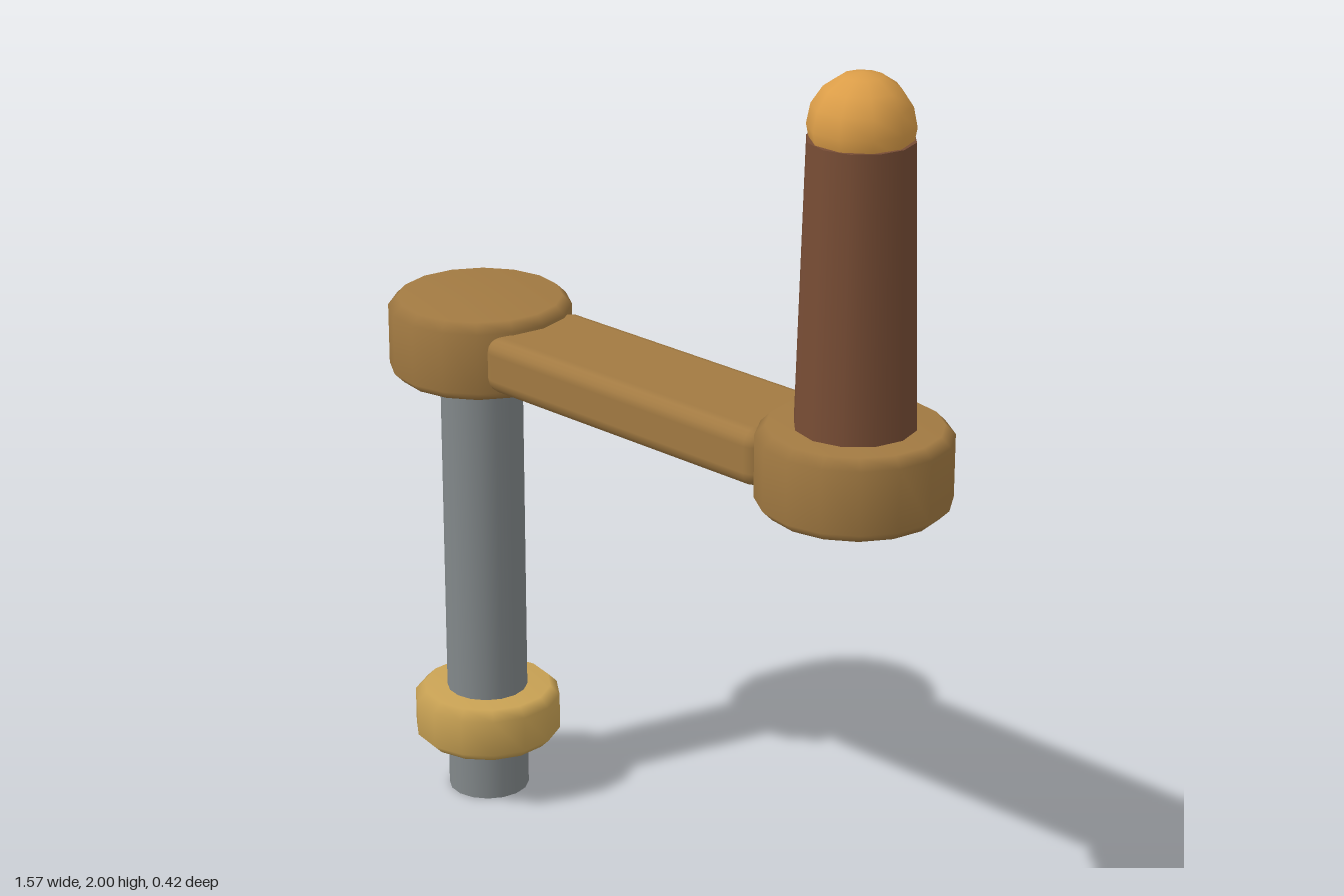
import * as THREE from 'three';
import { RoundedBoxGeometry } from 'three/addons/geometries/RoundedBoxGeometry.js';

const material = (name, color) => {
  const m = new THREE.MeshStandardMaterial({ color });
  m.name = name;
  return m;
};

export function createModel() {
  const wood = material('wood', 0xa27a42);
  const brass = material('pale brass', 0xc9a254);
  const amber = material('amber', 0xdb9d48);
  const grip = material('brown grip', 0x784d35);
  const steel = material('grey steel', 0x82888a);

  const group = new THREE.Group();
  const X = 0.573; // distance of both axes from the middle

  const add = (name, geometry, mat, x, y) => {
    const mesh = new THREE.Mesh(geometry, mat);
    mesh.name = name;
    mesh.position.set(x, y, 0);
    group.add(mesh);
  };

  // Smooth disc with bevelled rims, standing on y = 0
  const disc = (r, h, bevel, sides) => new THREE.LatheGeometry([
    [0, 0], [r - bevel, 0], [r, bevel], [r, h - bevel], [r - bevel, h], [0, h],
  ].map(([a, b]) => new THREE.Vector2(a, b)), sides);

  // Upright shaft with its collar
  add('shaft', new THREE.CylinderGeometry(0.095, 0.095, 1.1, 16), steel, -X, 0.55);
  add('collar', disc(0.173, 0.13, 0.022, 14), brass, -X, 0.13);

  // Crank arm between two hubs
  add('shaftHub', disc(0.21, 0.185, 0.022, 16), wood, -X, 1.055);
  add('handleHub', disc(0.21, 0.185, 0.022, 16), wood, X, 1.055);
  add('arm', new RoundedBoxGeometry(0.84, 0.13, 0.28, 2, 0.035), wood, 0, 1.147);

  // Tapered handle with a domed end
  add('handle', new THREE.CylinderGeometry(0.114, 0.132, 0.66, 12), grip, X, 1.53);
  add('knob', new THREE.SphereGeometry(0.113, 10, 8), amber, X, 1.887);

  return group;
}
